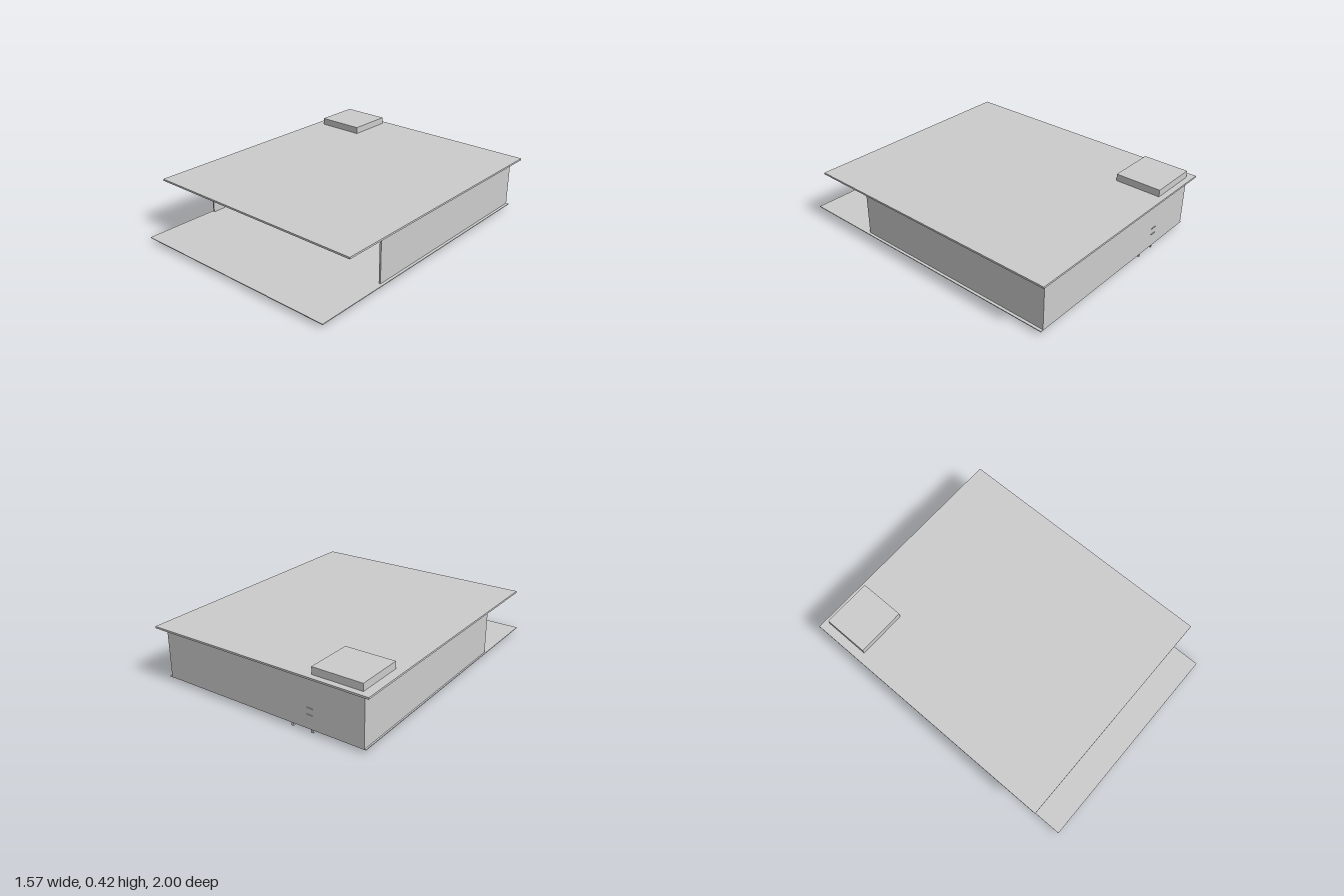
import * as THREE from 'three';

const material = new THREE.MeshStandardMaterial({ color: 0xcccccc, flatShading: true });

// Box given by its lower and upper limits on each axis
function block(parent, name, x0, x1, y0, y1, z0, z1) {
  const mesh = new THREE.Mesh(new THREE.BoxGeometry(x1 - x0, y1 - y0, z1 - z0), material);
  mesh.position.set((x0 + x1) / 2, (y0 + y1) / 2, (z0 + z1) / 2);
  mesh.name = name;
  parent.add(mesh);
  return mesh;
}

function group(parent, name, x = 0, y = 0, z = 0) {
  const g = new THREE.Group();
  g.name = name;
  g.position.set(x, y, z);
  parent.add(g);
  return g;
}

// Staircase rising along x from xLow to xHigh, extruded across its width
function stairs(parent, name, xLow, xHigh, y0, y1, z0, width) {
  const steps = 14;
  const dx = (xHigh - xLow) / steps;
  const dy = (y1 - y0) / steps;
  const points = [new THREE.Vector2(xLow, y0)];
  for (let i = 0; i < steps; i++) {
    points.push(new THREE.Vector2(xLow + i * dx, y0 + (i + 1) * dy));
    points.push(new THREE.Vector2(xLow + (i + 1) * dx, y0 + (i + 1) * dy));
  }
  // Sloping underside
  points.push(new THREE.Vector2(xHigh, y1 - 2 * dy), new THREE.Vector2(xLow + dx, y0));
  const geometry = new THREE.ExtrudeGeometry(new THREE.Shape(points), { depth: width, bevelEnabled: false });
  const mesh = new THREE.Mesh(geometry, material);
  mesh.position.z = z0;
  mesh.name = name;
  parent.add(mesh);
}

// Table with a cabinet body, a projecting ledge and a foot; side = 1 faces -x
function gameTable(parent, x, y, z, side) {
  const g = group(parent, 'gameTable', x, y, z);
  block(g, 'tableBody', -0.047, 0.047, 0.012, 0.05, -0.03, 0.03);
  block(g, 'tableLedge', -0.062, -0.047, 0.012, 0.022, -0.03, 0.03);
  block(g, 'tableFoot', -0.034, -0.01, -0.006, 0.012, -0.008, 0.008);
  if (side < 0) g.rotation.y = Math.PI;
}

function stool(parent, x, z) {
  const g = group(parent, 'barStool', x, 0.028, z);
  [['stoolBase', 0.009, 0.003, 0.0015], ['stoolPost', 0.002, 0.03, 0.016],
    ['stoolSeat', 0.009, 0.005, 0.032]].forEach(([name, r, h, y]) => {
    const mesh = new THREE.Mesh(new THREE.CylinderGeometry(r, r, h, 12), material);
    mesh.position.y = y;
    mesh.name = name;
    g.add(mesh);
  });
}

export function createModel() {
  const model = new THREE.Group();
  model.name = 'pavilion';
  const floorY = 0.028;
  const deckY = 0.165;

  // Shell: floor, three walls and overhanging roof, open at the front
  block(model, 'floor', -0.745, 0.745, 0.023, floorY, -0.96, 1);
  block(model, 'rightWall', -0.735, -0.725, 0.022, 0.358, -0.96, 0.485);
  block(model, 'leftWall', 0.714, 0.726, 0.022, 0.358, -0.96, 0.485);
  block(model, 'backWall', -0.725, 0.714, floorY, 0.358, -0.96, -0.95);
  block(model, 'roof', -0.785, 0.785, 0.358, 0.37, -1, 0.83);

  // Tower room in the rear corner, rising through the roof
  const tower = group(model, 'towerRoom');
  block(tower, 'towerFront', -0.725, -0.393, floorY, 0.405, -0.66, -0.65);
  block(tower, 'towerSide', -0.403, -0.393, floorY, 0.405, -0.95, -0.66);
  block(tower, 'towerCap', -0.727, -0.393, 0.37, 0.417, -0.962, -0.65);
  block(tower, 'towerDoor', -0.71, -0.63, deckY, 0.265, -0.65, -0.646);

  // Raised decks with their stairs
  block(model, 'rightDeck', -0.725, -0.393, floorY, deckY, -0.65, -0.32);
  block(model, 'leftDeck', 0.39, 0.714, floorY, deckY, -0.95, -0.42);
  stairs(model, 'leftStairs', 0.39, 0.64, floorY, deckY, -0.42, 0.11);
  const rightFlight = group(model, 'rightStairs', 0, 0, -0.53);
  rightFlight.rotation.y = Math.PI;
  stairs(rightFlight, 'stairFlight', 0.39, 0.64, floorY, deckY, -0.32, 0.11);

  // U-shaped bar counter with its base below the floor
  const bar = group(model, 'barCounter');
  [['Outer', -0.25, -0.235, -0.955, -0.63], ['Inner', -0.39, -0.375, -0.955, -0.63],
    ['End', -0.375, -0.25, -0.645, -0.63]].forEach(([side, x0, x1, z0, z1]) => {
    block(bar, 'bar' + side, x0, x1, 0, 0.075, z0, z1);
    block(bar, 'barTop' + side, x0 - (side === 'Outer' ? 0.01 : 0), x1 + (side === 'Outer' ? 0.013 : 0),
      0.075, 0.083, z0, z1);
  });
  [0.11, 0.153].forEach(y => block(model, 'barShelf', -0.393, -0.35, y, y + 0.005, -0.964, -0.7));

  // Stools along the bar
  for (let i = 0; i < 5; i++) stool(model, -0.2, -0.9 + i * 0.065);
  [-0.33, -0.275, -0.23].forEach(x => stool(model, x, -0.59));

  // Tables on the floor and on the left deck
  [-0.87, -0.69, -0.51].forEach(z => {
    gameTable(model, 0.312, floorY - 0.003, z, 1);
    gameTable(model, 0.658, deckY, z, 1);
  });
  gameTable(model, -0.335, floorY - 0.003, -0.474, -1);

  // Central stand with a tapered upper part against the back wall
  const stand = group(model, 'centralStand');
  block(stand, 'standBase', -0.069, 0.067, floorY, 0.066, -0.95, -0.87);
  const upper = block(stand, 'standUpper', -0.069, 0.067, 0.066, 0.106, -0.95, -0.87);
  const p = upper.geometry.attributes.position;
  for (let i = 0; i < p.count; i++) if (p.getY(i) > 0) p.setX(i, p.getX(i) * 0.95);
  upper.geometry.computeVertexNormals();

  return model;
}
